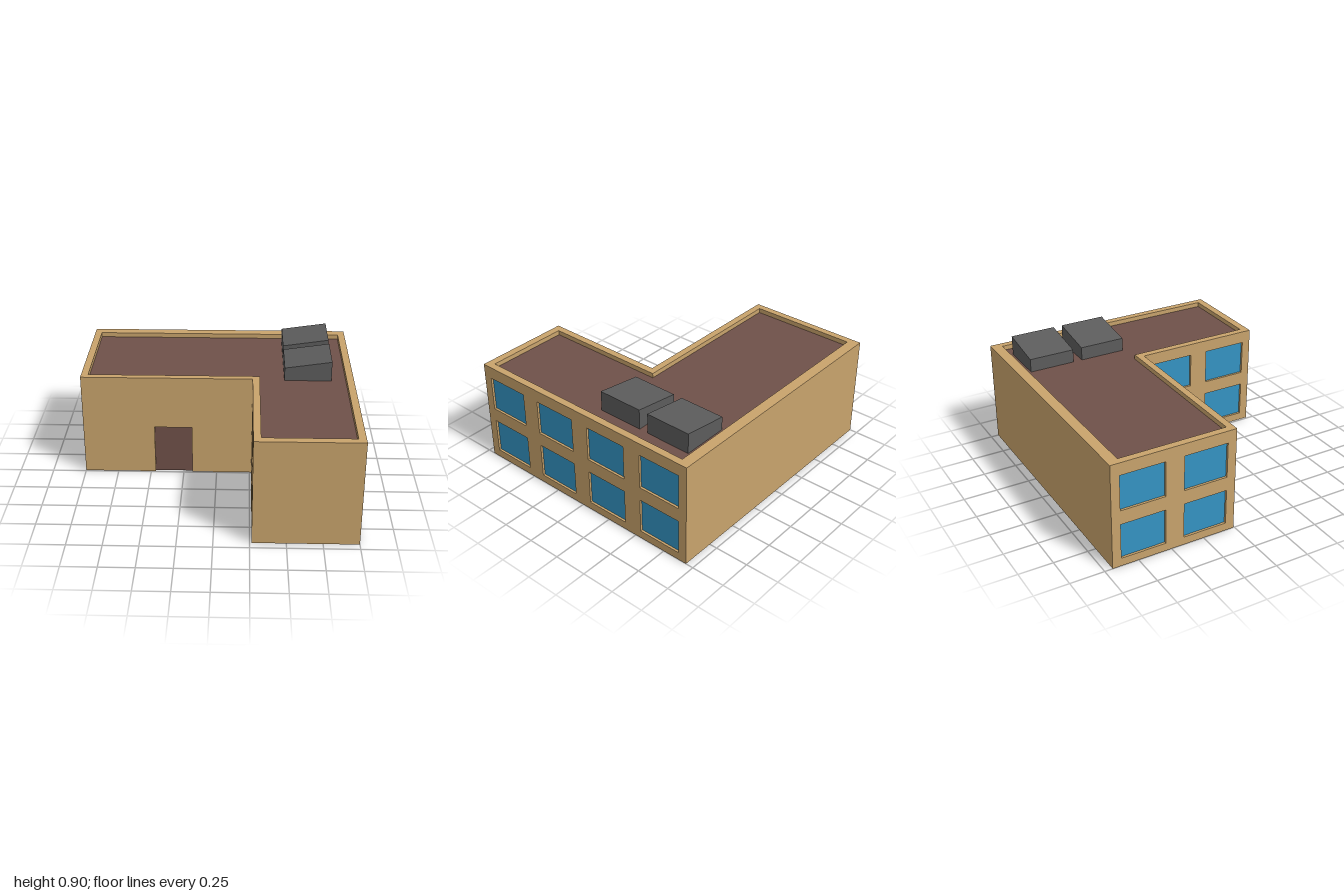
import * as THREE from 'three';

const H = 0.785, ROOF = 0.75, BACK = -0.942, FRONT = 0.942, NOTCH_Z = -0.009, NOTCH_X = 0.263, D = 0.02;

export function createModel() {
  const wall = new THREE.MeshStandardMaterial({ color: 0xc8a36c });
  wall.name = 'tan wall';
  const brown = new THREE.MeshStandardMaterial({ color: 0x6f5149 });
  brown.name = 'brown roof';
  const blue = new THREE.MeshStandardMaterial({ color: 0x3494c4 });
  blue.name = 'blue glass';
  const grey = new THREE.MeshStandardMaterial({ color: 0x5c5c5c });
  grey.name = 'dark grey metal';

  const model = new THREE.Group();
  model.name = 'building';
  const add = (name, geometry, material) => {
    const mesh = new THREE.Mesh(geometry, material);
    mesh.name = name;
    model.add(mesh);
    return mesh;
  };
  const points = (list) => list.map(([x, y]) => new THREE.Vector2(x, y));
  const extrude = (shape, depth) => new THREE.ExtrudeGeometry(shape, { depth, bevelEnabled: false });

  // L-shaped plan outline, drawn with shape y = -z
  const plan = (x0, x1, z0, z1, nx, nz) =>
    points([[x0, -z0], [x0, -nz], [nx, -nz], [nx, -z1], [x1, -z1], [x1, -z0]]);
  const slab = (shape, y0, y1) => extrude(shape, y1 - y0).rotateX(-Math.PI / 2).translate(0, y0, 0);

  // Core sits behind the facade panels, so openings read as recesses
  const outer = plan(-1 + D, 1 - D, BACK, FRONT, NOTCH_X + D, NOTCH_Z - D);
  const inner = plan(-0.948, 0.947, -0.863, 0.885, 0.315, -0.06);
  add('core', slab(new THREE.Shape(outer), 0, ROOF - 0.005), wall);
  add('roof', slab(new THREE.Shape(inner), ROOF - 0.005, ROOF), brown);
  const ring = new THREE.Shape(outer);
  ring.holes.push(new THREE.Path(inner));
  add('parapet', slab(ring, ROOF - 0.005, H), wall);

  // Side facades with two rows of recessed windows
  const columns = [[0.54, 0.877], [0.067, 0.402], [-0.405, -0.075], [-0.877, -0.545]];
  const rows = [[0.06, 0.325], [0.43, 0.693]];
  const rect = (a, b, c, d) => points([[a, c], [b, c], [b, d], [a, d]]);
  const sideFacade = (name, xMax, z0, z1, cols, glassX) => {
    const shape = new THREE.Shape(rect(z0, z1, 0, H));
    for (const [a, b] of cols) {
      for (const [c, d] of rows) {
        shape.holes.push(new THREE.Path(rect(a, b, c, d)));
        add(name + 'Window', new THREE.BoxGeometry(0.004, d - c, b - a), blue)
          .position.set(glassX, (c + d) / 2, (a + b) / 2);
      }
    }
    add(name + 'Facade', extrude(shape, D).rotateY(-Math.PI / 2).translate(xMax, 0, 0), wall);
  };
  sideFacade('left', 1, BACK, FRONT, columns, 1 - D + 0.001);
  sideFacade('right', -1 + D, BACK, NOTCH_Z, columns.slice(2), -1 + D - 0.001);
  sideFacade('wing', NOTCH_X + D, NOTCH_Z, FRONT, columns.slice(0, 2), NOTCH_X + D - 0.001);

  // Front facade with a doorway cut up from the ground
  const [d0, d1, dTop] = [-0.465, -0.185, 0.38];
  const frontShape = new THREE.Shape(points([
    [-1 + D, 0], [d0, 0], [d0, dTop], [d1, dTop], [d1, 0],
    [NOTCH_X + D, 0], [NOTCH_X + D, H], [-1 + D, H],
  ]));
  add('frontFacade', extrude(frontShape, D).translate(0, 0, NOTCH_Z - D), wall);
  add('door', new THREE.BoxGeometry(d1 - d0, dTop, 0.004), brown)
    .position.set((d0 + d1) / 2, dTop / 2, NOTCH_Z - D + 0.001);

  // Sloped rooftop units
  const unit = new THREE.Shape(points([[0.497, ROOF], [0.842, ROOF], [0.842, 0.9], [0.497, 0.85]]));
  for (const z of [-0.823, -0.411]) {
    add('rooftopUnit', extrude(unit, 0.343).translate(0, 0, z), grey);
  }
  return model;
}
